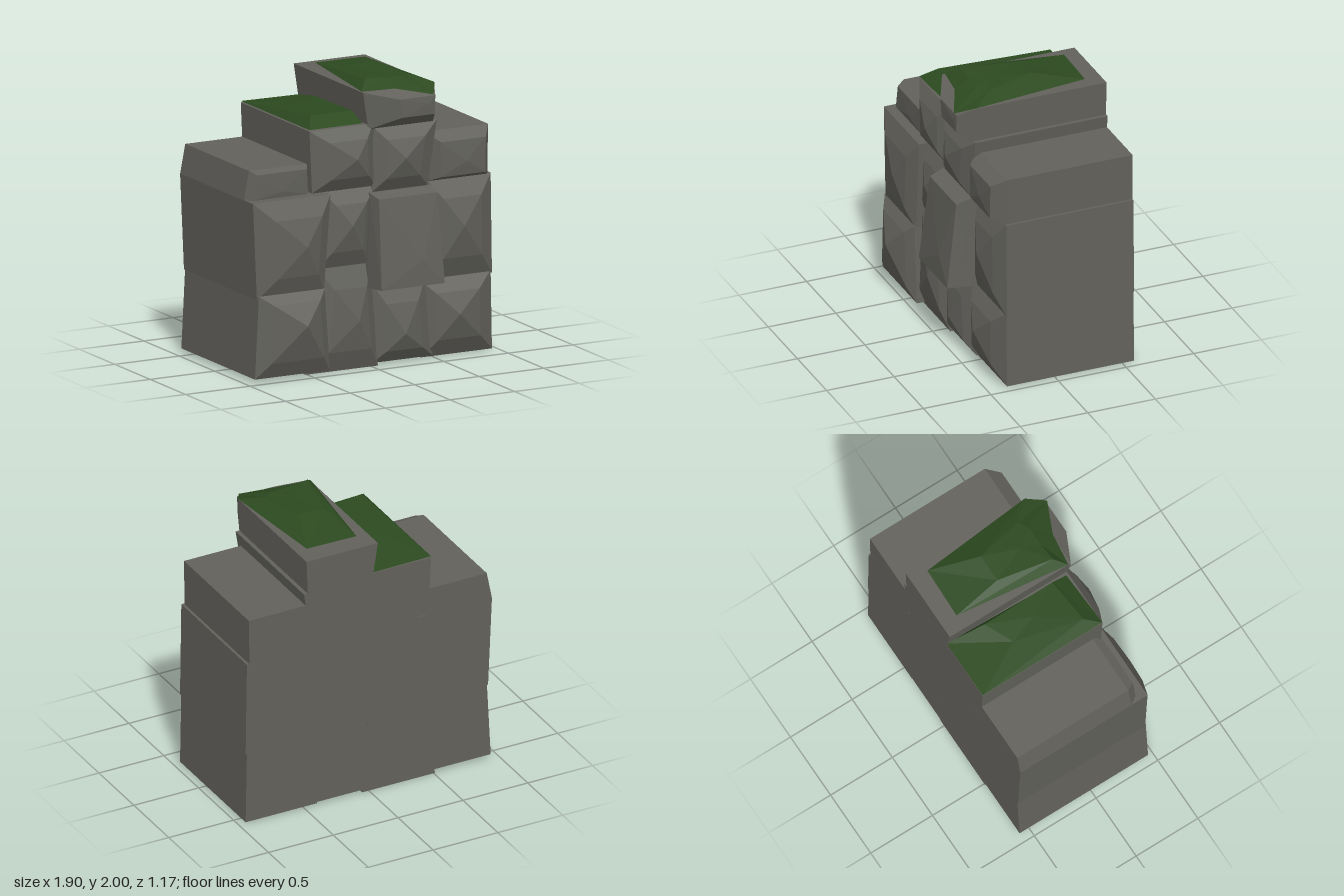
import * as THREE from 'three';

const BACK = -0.58;

// Mesh from triangles, each made of three [x, y, z] points
function facetMesh(name, tris, material) {
  const geo = new THREE.BufferGeometry();
  geo.setAttribute('position', new THREE.Float32BufferAttribute(tris.flat(2), 3));
  geo.computeVertexNormals();
  const mesh = new THREE.Mesh(geo, material);
  mesh.name = name;
  return mesh;
}

// Triangles joining two closed loops of equal length
const band = (a, b) => a.flatMap((p, i) => {
  const j = (i + 1) % a.length;
  return [[p, a[j], b[j]], [p, b[j], b[i]]];
});

// Triangles from a loop to one point
const fan = (loop, tip) => loop.map((p, i) => [p, loop[(i + 1) % loop.length], tip]);

// Loop's mean point
const middle = (loop) => [0, 1, 2].map((k) => loop.reduce((s, p) => s + p[k], 0) / loop.length);

// Stone: straight prism whose sides lean, with a hewn front. The front goes from the
// rim to an inner loop (set in towards the peak, raised by rise, tilted along y), then to the peak.
function stone(name, [x0, x1, y0, y1], [leanLeft, leanRight], rimZ, peak, material, inset = 0.4, rise = 0.55, tilt = 0) {
  const loop = (z) => [[x0, y0, z], [x1, y0, z], [x1 + leanRight, y1, z], [x0 + leanLeft, y1, z]];
  const back = loop(BACK);
  const rim = loop(rimZ);
  const ring = rim.map(([x, y, z]) => {
    const ry = y + (peak[1] - y) * inset;
    return [x + (peak[0] - x) * inset, ry, z + (peak[2] - z) * rise + (ry - peak[1]) * tilt];
  });
  return facetMesh(name, [
    ...band(back, rim),
    ...band(rim, ring),
    ...fan(ring, peak),
    ...fan([...back].reverse(), middle(back)),
  ], material);
}

// Moss: faceted cushion from a lower outline to a raised ring
const moss = (name, outline, ring, material) =>
  facetMesh(name, [...band(outline, ring), ...fan(ring, middle(ring))], material);

export function createModel() {
  const group = new THREE.Group();
  const rock = new THREE.MeshStandardMaterial({ color: 0x62615b, flatShading: true });
  rock.name = 'grey rock';
  const green = new THREE.MeshStandardMaterial({ color: 0x2c4a20, flatShading: true, side: THREE.DoubleSide });
  green.name = 'moss green';
  const add = (name, bounds, leans, rimZ, peak, ...hewing) =>
    group.add(stone(name, bounds, leans, rimZ, peak, rock, ...hewing));

  // Bottom course
  add('bottomStone1', [-0.94, -0.36, 0.03, 0.605], [0.03, -0.04], 0.46, [-0.6, 0.39, 0.59], 0.3, 0.4);
  add('bottomStone2', [-0.51, 0.05, 0, 0.725], [0.09, -0.06], 0.39, [-0.14, 0.35, 0.48]);
  add('bottomStone3', [0.01, 0.48, 0.02, 0.57], [0, -0.06], 0.38, [0.22, 0.22, 0.48]);
  add('bottomStone4', [0.4, 0.95, 0.01, 0.56], [-0.02, -0.01], 0.36, [0.64, 0.31, 0.48]);

  // Second course, with one flat stone standing proud
  add('middleStone1', [-0.92, -0.4, 0.58, 1.255], [-0.03, 0.05], 0.45, [-0.58, 0.93, 0.55]);
  add('middleStone2', [-0.42, -0.02, 0.715, 1.26], [0.05, 0.05], 0.38, [-0.19, 1.02, 0.48]);
  add('middleStone3', [-0.05, 0.47, 0.56, 1.22], [0.02, -0.02], 0.42, [0.3, 0.75, 0.585], 0.06, 0.9, -0.12);
  add('middleStone4', [0.45, 0.95, 0.54, 1.24], [0, -0.01], 0.36, [0.68, 0.92, 0.47]);

  // Third course
  add('upperStone1', [-0.95, -0.45, 1.25, 1.455], [0.04, -0.01], 0.32, [-0.68, 1.3, 0.385], 0.15, 0.9);
  add('upperStone2', [-0.46, 0.03, 1.26, 1.695], [-0.02, -0.02], 0.39, [-0.16, 1.48, 0.49]);
  add('upperStone3', [0, 0.43, 1.22, 1.67], [0.01, 0.07], 0.4, [0.21, 1.45, 0.5]);
  add('upperStone4', [0.43, 0.92, 1.23, 1.58], [0, 0.005], 0.35, [0.7, 1.37, 0.46], 0.3, 0.85);

  // Crowning stone
  add('topStone', [-0.03, 0.47, 1.66, 1.92], [-0.04, 0.01], 0.4, [0.38, 1.82, 0.515], 0.5, 0.95);

  // Core filling the joints between stones
  const core = new THREE.Mesh(new THREE.BoxGeometry(1.8, 1.2, 0.87), rock);
  core.position.set(0, 0.65, -0.142);
  core.name = 'core';
  group.add(core);

  // Moss on the crowning stone, draping over its front corner
  group.add(moss('topMoss',
    [[-0.07, 1.925, 0.38], [0.17, 1.925, 0.41], [0.41, 1.88, 0.52],
      [0.49, 1.93, 0.39], [0.41, 1.94, -0.45], [0.03, 1.94, -0.46]],
    [[0, 1.99, 0.3], [0.14, 1.98, 0.29], [0.28, 1.975, 0.29],
      [0.36, 1.97, 0.25], [0.28, 2, -0.1], [0.08, 1.985, -0.1]], green));

  // Moss on the lower step
  group.add(moss('lowerMoss',
    [[-0.48, 1.705, 0.39], [-0.06, 1.7, 0.37], [-0.03, 1.7, BACK], [-0.48, 1.705, BACK]],
    [[-0.41, 1.775, 0.28], [-0.07, 1.765, 0.25], [-0.07, 1.755, -0.3], [-0.28, 1.745, -0.2]], green));

  return group;
}
